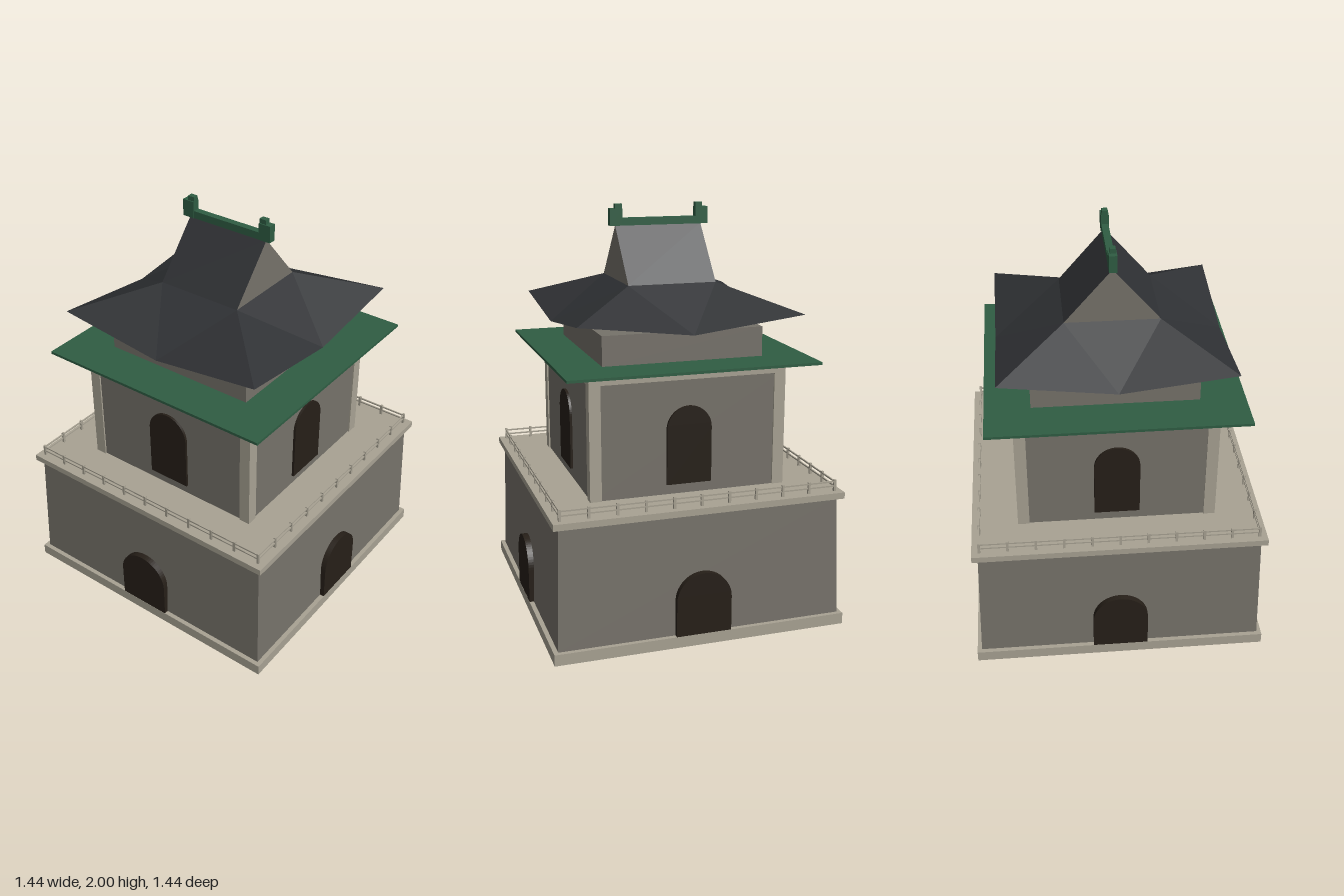
import * as THREE from 'three';

const mat = (color, side = THREE.FrontSide) => new THREE.MeshStandardMaterial({ color, side, flatShading: true });
const MATS = {
  wall: mat(0x76726a),
  trim: mat(0xa8a293),
  door: mat(0x261f18),
  green: mat(0x2f5d43),
  tile: mat(0x2f3134),
  gable: mat(0x76726a, THREE.DoubleSide),
};

function add(parent, name, geometry, material, x = 0, y = 0, z = 0) {
  const mesh = new THREE.Mesh(geometry, material);
  mesh.name = name;
  mesh.position.set(x, y, z);
  parent.add(mesh);
  return mesh;
}

// Box given by its full width, depth and vertical span
const slab = (parent, name, material, w, d, y0, y1, x = 0, z = 0) =>
  add(parent, name, new THREE.BoxGeometry(w, y1 - y0, d), material, x, (y0 + y1) / 2, z);

// Square tower section with sloping sides
function taperedBlock(half0, half1, y0, y1) {
  const g = new THREE.BoxGeometry(2, y1 - y0, 2);
  const p = g.attributes.position;
  for (let i = 0; i < p.count; i++) {
    const h = p.getY(i) > 0 ? half1 : half0;
    p.setXYZ(i, p.getX(i) * h, p.getY(i) + (y0 + y1) / 2, p.getZ(i) * h);
  }
  g.computeVertexNormals();
  return g;
}

// Geometry from a list of triangles, each with three corner points
function fromTriangles(tris) {
  const g = new THREE.BufferGeometry();
  g.setAttribute('position', new THREE.Float32BufferAttribute(tris.flat(2), 3));
  g.computeVertexNormals();
  return g;
}

// Round-headed door on each of the four sides
function archedDoors(parent, name, half, y0, y1, face, depth) {
  const s = new THREE.Shape();
  s.moveTo(-half, y0);
  s.lineTo(half, y0);
  s.lineTo(half, y1 - half);
  s.absarc(0, y1 - half, half, 0, Math.PI, false);
  s.closePath();
  const g = new THREE.ExtrudeGeometry(s, { depth, bevelEnabled: false, curveSegments: 16 });
  g.translate(0, 0, face - depth);
  for (let i = 0; i < 4; i++) add(parent, name, g, MATS.door).rotation.y = (i * Math.PI) / 2;
}

// Tapered walls on a plinth frame with a recessed underside
function lowerTower() {
  const g = new THREE.Group();
  g.name = 'lowerTower';
  const outer = 0.718, bar = 0.023;
  for (const s of [-1, 1]) {
    slab(g, 'plinthSide', MATS.trim, bar, 2 * outer, 0, 0.055, s * (outer - bar / 2));
    slab(g, 'plinthEnd', MATS.trim, 2 * (outer - bar), bar, 0, 0.055, 0, s * (outer - bar / 2));
  }
  slab(g, 'plinthFloor', MATS.trim, 2 * (outer - bar), 2 * (outer - bar), 0.05, 0.055);
  add(g, 'lowerWalls', taperedBlock(0.696, 0.679, 0.055, 0.645), MATS.wall);
  slab(g, 'terrace', MATS.trim, 1.414, 1.414, 0.645, 0.676);
  archedDoors(g, 'lowerDoor', 0.135, 0.001, 0.36, 0.7175, 0.055);
  return g;
}

// Posts and two rails around the terrace
function railing() {
  const g = new THREE.Group();
  g.name = 'railing';
  const r = 0.67, n = 10;
  for (let side = 0; side < 4; side++) {
    const run = new THREE.Group();
    run.name = 'railingSide';
    run.rotation.y = (side * Math.PI) / 2;
    for (let i = 0; i < n; i++) {
      slab(run, 'railingPost', MATS.trim, 0.012, 0.012, 0.676, 0.732, -r + (2 * r * i) / n, r);
    }
    for (const y of [0.701, 0.723]) slab(run, 'rail', MATS.trim, 2 * r, 0.007, y - 0.0035, y + 0.0035, 0, r);
    g.add(run);
  }
  return g;
}

function upperTower() {
  const g = new THREE.Group();
  g.name = 'upperTower';
  slab(g, 'upperWalls', MATS.wall, 0.95, 0.95, 0.676, 1.24);
  for (const x of [-1, 1]) for (const z of [-1, 1]) {
    slab(g, 'cornerPillar', MATS.trim, 0.056, 0.056, 0.676, 1.229, x * 0.4545, z * 0.4545);
  }
  slab(g, 'topBeam', MATS.trim, 0.965, 0.965, 1.229, 1.263);
  archedDoors(g, 'upperDoor', 0.11, 0.725, 1.103, 0.487, 0.04);
  slab(g, 'lowerEave', MATS.green, 1.222, 1.222, 1.283, 1.296);
  slab(g, 'eaveSoffit', MATS.green, 1.06, 1.06, 1.28, 1.283);
  slab(g, 'neck', MATS.wall, 0.79, 0.79, 1.296, 1.439);
  return g;
}

// Hip-and-gable roof with upturned corners
function roof() {
  const g = new THREE.Group();
  g.name = 'roof';
  const E = 0.546, yMid = 1.447, yCorner = 1.513, R = 0.218, D = 0.225, yHip = 1.636, yRidge = 1.897;
  const signs = [[1, 1], [1, -1], [-1, -1], [-1, 1]];
  const corner = signs.map(([x, z]) => [x * E, yCorner, z * E]);
  const hip = signs.map(([x, z]) => [x * R, yHip, z * D]);
  const mid = [[E, yMid, 0], [0, yMid, -E], [-E, yMid, 0], [0, yMid, E]];
  const centre = [0, yMid, 0];
  const tris = [];
  for (let i = 0; i < 4; i++) {
    const j = (i + 1) % 4;
    tris.push([corner[i], mid[i], hip[i]], [mid[i], hip[j], hip[i]], [mid[i], corner[j], hip[j]]);
    tris.push([corner[i], centre, mid[i]], [mid[i], centre, corner[j]]);
  }
  // Steep upper slopes to the ridge
  const ridgeR = [R, yRidge, 0], ridgeL = [-R, yRidge, 0];
  tris.push([hip[3], hip[0], ridgeR], [hip[3], ridgeR, ridgeL]);
  tris.push([hip[1], hip[2], ridgeL], [hip[1], ridgeL, ridgeR]);
  add(g, 'tiledSlopes', fromTriangles(tris), MATS.tile);
  add(g, 'gables', fromTriangles([[hip[0], hip[1], ridgeR], [hip[2], hip[3], ridgeL]]), MATS.gable);

  // Ridge beam with stepped end ornaments
  slab(g, 'ridgeBeam', MATS.green, 0.38, 0.034, 1.896, 1.932);
  for (const s of [-1, 1]) {
    slab(g, 'ridgeEnd', MATS.green, 0.062, 0.038, 1.896, 1.978, s * 0.217);
    slab(g, 'ridgeHorn', MATS.green, 0.036, 0.028, 1.945, 2.0, s * 0.204);
  }
  return g;
}

export function createModel() {
  const model = new THREE.Group();
  model.name = 'gateTower';
  model.add(lowerTower(), railing(), upperTower(), roof());
  return model;
}
